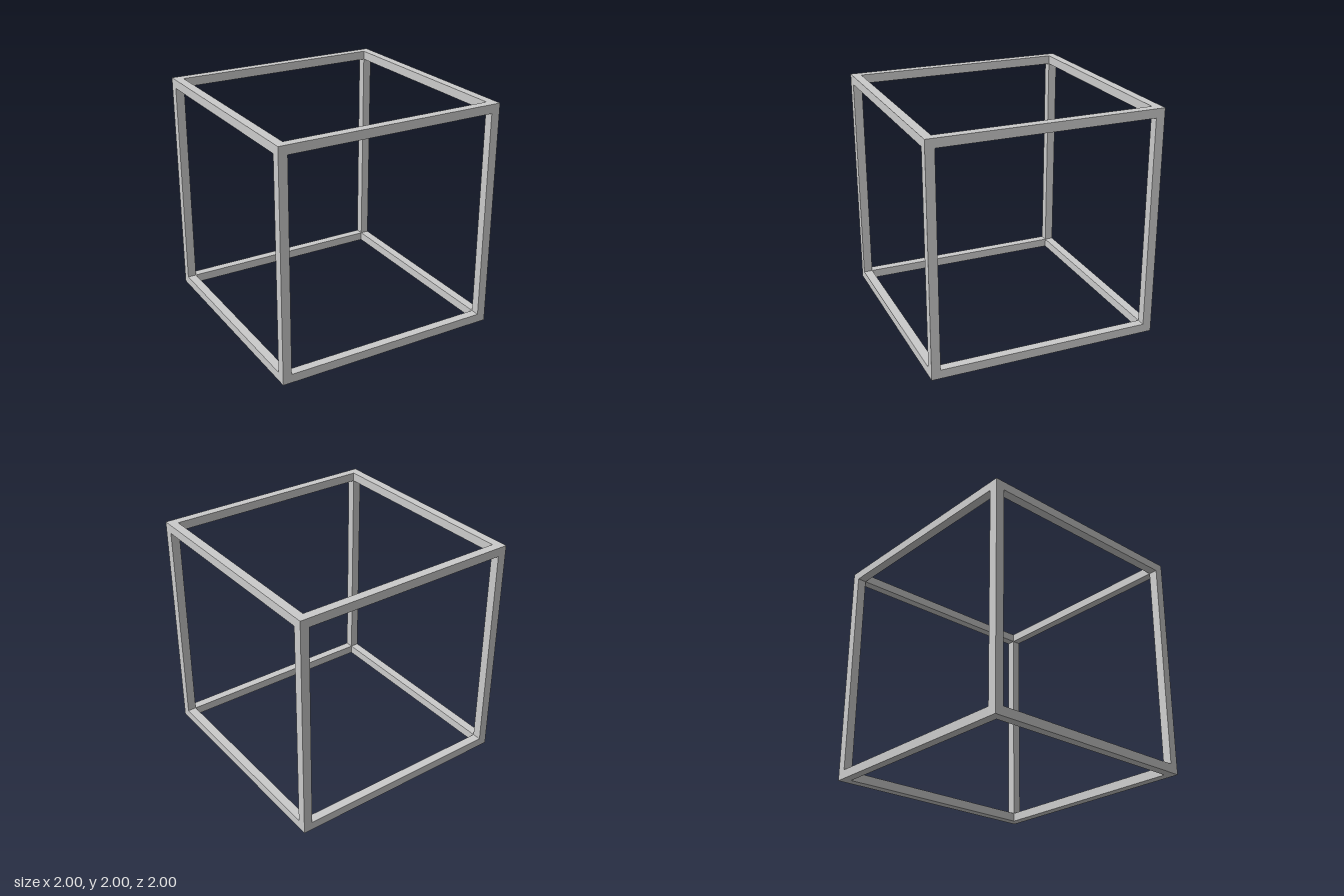
import * as THREE from 'three';

const SIZE = 2;
const BAR = 0.077;
const SPAN = SIZE - 2 * BAR; // clear length between two posts
const EDGE = (SIZE - BAR) / 2; // bar centre line, from the middle of the cube

export function createModel() {
  const model = new THREE.Group();
  model.name = 'cubeFrame';
  const material = new THREE.MeshStandardMaterial({ color: 0xcccccc, flatShading: true });

  const addBar = (name, size, x, y, z) => {
    const bar = new THREE.Mesh(new THREE.BoxGeometry(...size), material);
    bar.name = name;
    bar.position.set(x, y + SIZE / 2, z);
    model.add(bar);
  };

  for (const a of [-1, 1]) {
    for (const b of [-1, 1]) {
      const side = a > 0 ? 'Left' : 'Right';
      const end = b > 0 ? 'front' : 'back';
      const level = a > 0 ? 'top' : 'bottom';

      // Full-height corner posts
      addBar(`${end}${side}Post`, [BAR, SIZE, BAR], a * EDGE, 0, b * EDGE);

      // Rails running left to right, butted between the posts
      addBar(`${end}${a > 0 ? 'Top' : 'Bottom'}Rail`, [SPAN, BAR, BAR], 0, a * EDGE, b * EDGE);

      // Rails running front to back, butted between the posts
      addBar(`${level}${b > 0 ? 'Left' : 'Right'}Rail`, [BAR, BAR, SPAN], b * EDGE, a * EDGE, 0);
    }
  }
  return model;
}
